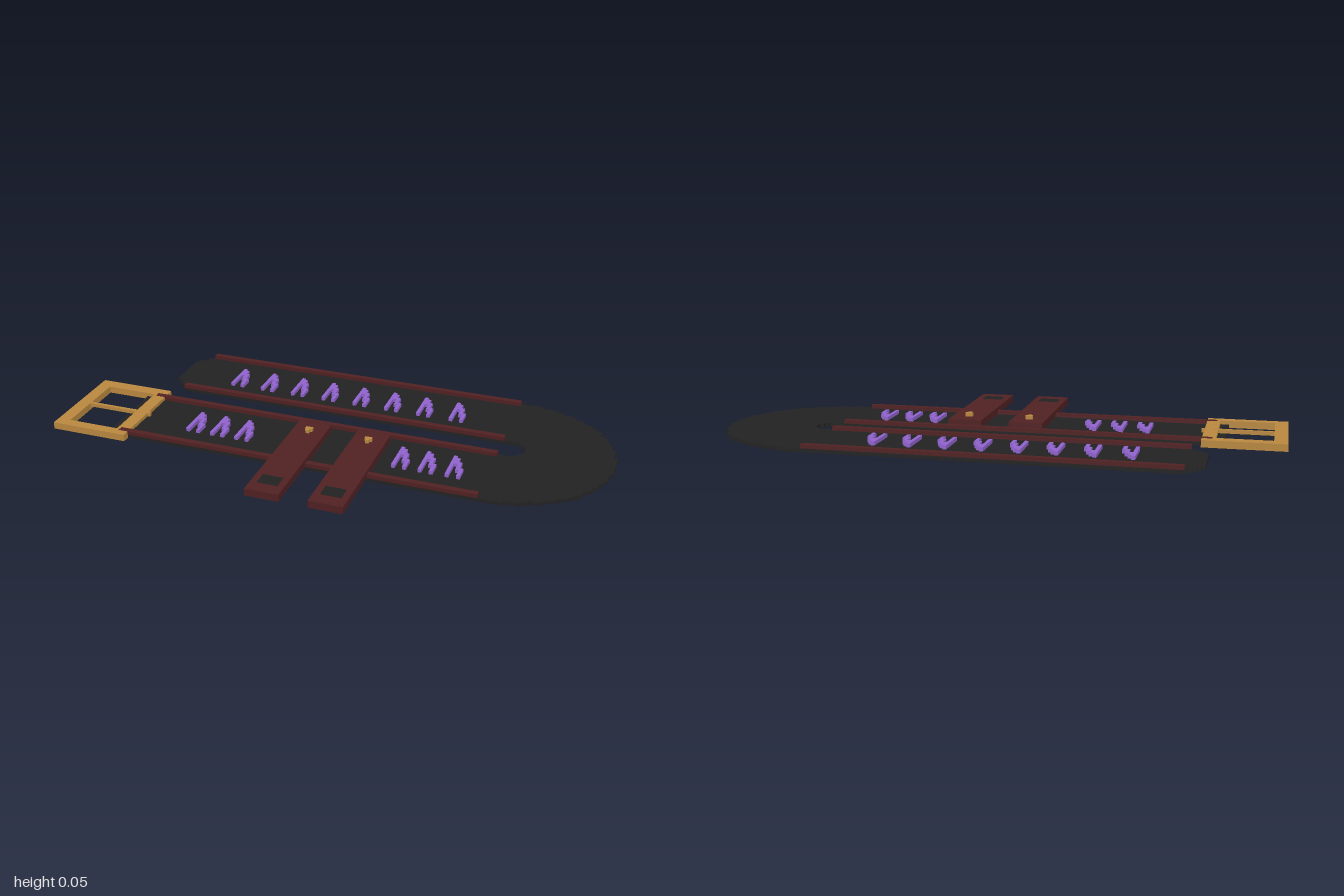
import * as THREE from 'three';
import { mergeGeometries } from 'three/addons/utils/BufferGeometryUtils.js';

const V = 2 / 150; // step size of the blocky design
const snap = (n) => Math.round(n / V) * V;

const mat = (name, color) => {
  const m = new THREE.MeshStandardMaterial({ color });
  m.name = name;
  return m;
};

// Box geometry given by its two corners
function box(x0, x1, y0, y1, z0, z1) {
  const g = new THREE.BoxGeometry(x1 - x0, y1 - y0, z1 - z0);
  g.translate((x0 + x1) / 2, (y0 + y1) / 2, (z0 + z1) / 2);
  return g;
}

// Stepped edge: walks from z0 to z1, with x given by a rule for each row
function steps(points, z0, z1, rule) {
  const n = Math.round(Math.abs(z1 - z0) / V);
  const dz = (z1 - z0) / n;
  for (let i = 0; i < n; i++) {
    const x = snap(rule(z0 + (i + 0.5) * dz));
    points.push(new THREE.Vector2(x, z0 + i * dz), new THREE.Vector2(x, z0 + (i + 1) * dz));
  }
}

export function createModel() {
  const group = new THREE.Group();
  const black = mat('black leather', 0x222222);
  const red = mat('dark red leather', 0x502022);
  const gold = mat('brass', 0xb8873f);
  const purple = mat('purple thread', 0x9062cc);

  const add = (name, geometries, material) => {
    const mesh = new THREE.Mesh(mergeGeometries([geometries].flat()), material);
    mesh.name = name;
    group.add(mesh);
  };

  // Belt: a flat U with a stepped bend and a pointed tip
  const zBack = -0.487, zSlotBack = -0.178, zSlotFront = -0.073, zFront = 0.242;
  const zMid = (zBack + zFront) / 2;
  const zSlotMid = (zSlotBack + zSlotFront) / 2;
  const zTip = (zBack + zSlotBack) / 2;
  const arc = (cx, rx, rz, mid) => (z) =>
    cx + rx * Math.sqrt(Math.max(0, 1 - ((z - mid) / rz) ** 2));
  const outline = [];
  steps(outline, zBack, zFront, arc(0.6, 0.4, (zFront - zBack) / 2, zMid));
  outline.push(new THREE.Vector2(-0.787, zFront), new THREE.Vector2(-0.787, zSlotFront));
  steps(outline, zSlotFront, zSlotBack, arc(0.62, 0.062, (zSlotFront - zSlotBack) / 2, zSlotMid));
  steps(outline, zSlotBack, zBack, (z) => -0.747 + Math.max(0, Math.abs(z - zTip) - 0.085));
  const belt = new THREE.ExtrudeGeometry(new THREE.Shape(outline), { depth: V, bevelEnabled: false });
  belt.rotateX(Math.PI / 2);
  belt.translate(0, V, 0);
  add('belt', belt, black);

  // Raised edging along both arms
  const edging = (x0, z0) => box(x0, 0.595, V, 2 * V + 0.0006, z0, z0 + 0.022);
  add('edging', [
    edging(-0.685, zBack), edging(-0.685, -0.197),
    edging(-0.745, -0.075), edging(-0.745, 0.221),
  ], red);

  // Buckle frame and prong
  const frame = new THREE.Shape();
  const rect = (path, x0, x1, z0, z1) =>
    path.moveTo(x0, z0).lineTo(x1, z0).lineTo(x1, z1).lineTo(x0, z1).closePath();
  rect(frame, -1, -0.709, -0.108, 0.272);
  const hole = new THREE.Path();
  rect(hole, -0.952, -0.757, -0.062, 0.234);
  frame.holes.push(hole);
  const buckle = new THREE.ExtrudeGeometry(frame, { depth: 2 * V - 0.001, bevelEnabled: false });
  buckle.rotateX(Math.PI / 2);
  buckle.translate(0, 2 * V, 0);
  add('buckleFrame', buckle, gold);
  add('buckleProng', box(-0.955, -0.698, V, 2 * V + 0.0006, 0.077, 0.09), gold);

  // Stitched marks: a stem with a leg stepping down to the right
  const mark = (x, z) => [[0, 0, 10], [1, 1, 4], [2, 3, 7], [3, 6, 10]].map(([col, r0, r1]) =>
    box(x + col * V, x + (col + 1) * V, V, 2 * V, z + r0 * V, z + r1 * V));
  const marks = [];
  for (let i = 0; i < 8; i++) marks.push(...mark(-0.52 + i * 0.1265, -0.39));
  for (const start of [-0.52, 0.265])
    for (let i = 0; i < 3; i++) marks.push(...mark(start + i * 0.096, 0.012));
  add('stitchedMarks', marks, purple);

  // Two hanging straps, each with a stud and a dark patch
  [-0.14, 0.086].forEach((x, i) => {
    const side = i ? 'left' : 'right';
    const top = 3 * V;
    const mid = x + 0.0615;
    add(side + 'Strap', box(x, x + 0.123, V, top, 0.487 - 0.517, 0.487), red);
    add(side + 'StrapPatch', box(mid - 0.037, mid + 0.037, top, top + 0.001, 0.38, 0.435), black);
    add(side + 'Stud', [
      box(mid - V, mid + V, top, top + V, 0.03, 0.03 + V),
      box(mid - V / 2, mid + V / 2, top, top + V, 0.03 + V, 0.03 + 2 * V),
    ], gold);
  });

  return group;
}
